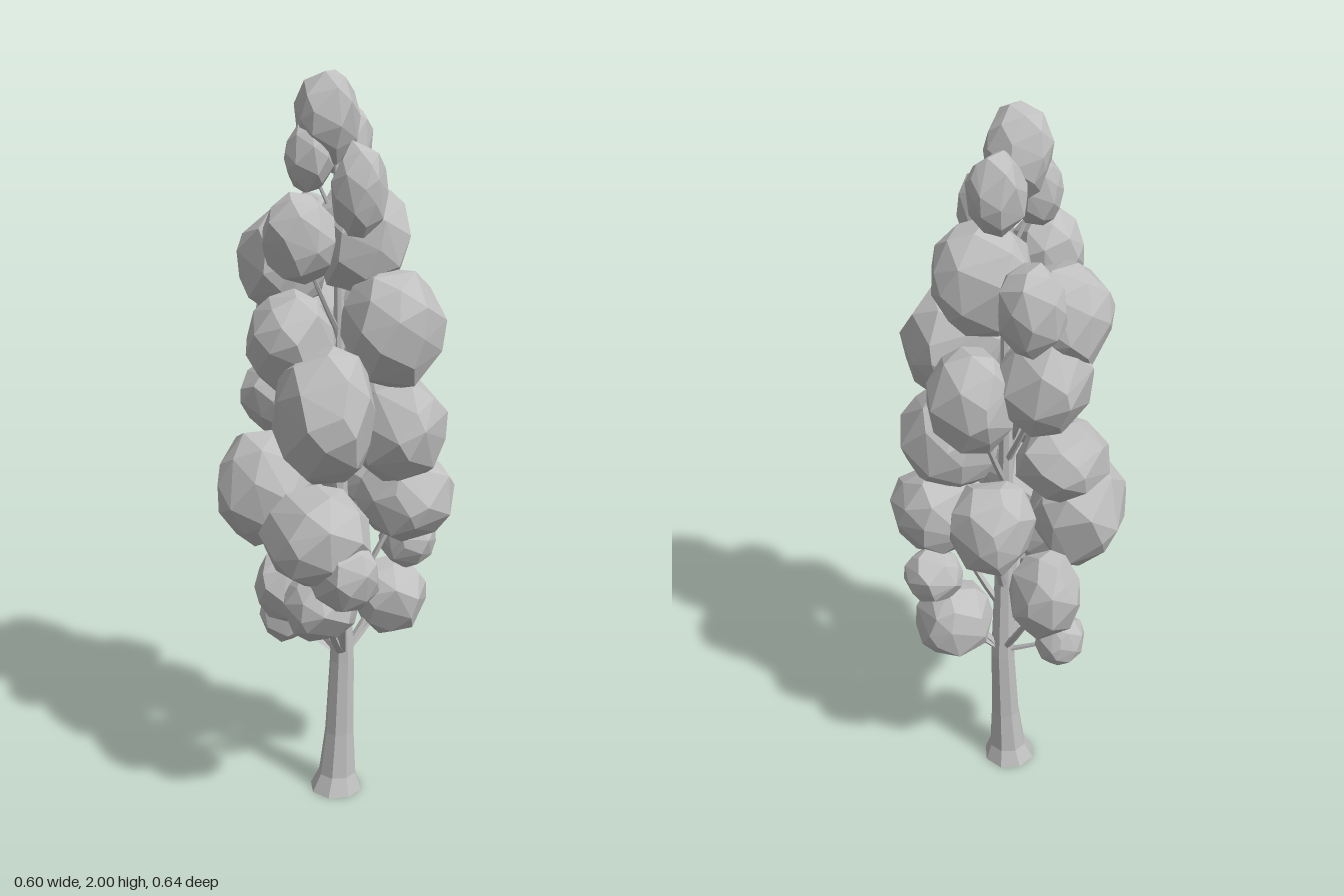
import * as THREE from 'three';
import { ConvexGeometry } from 'three/addons/geometries/ConvexGeometry.js';

// Leaf clumps by tier: centre x, y, z, radius across, radius upwards
const CLUMPS = {
  crownFoliage: [
    [-0.02, 1.885, -0.015, 0.083, 0.115], [0.065, 1.82, -0.075, 0.07, 0.098],
    [-0.07, 1.79, -0.02, 0.06, 0.085], [0.02, 1.71, 0.075, 0.07, 0.118],
    [0.07, 1.58, 0, 0.125, 0.145], [-0.13, 1.6, 0.04, 0.093, 0.112],
    [0.03, 1.57, -0.19, 0.083, 0.115],
  ],
  middleFoliage: [
    [-0.08, 1.51, -0.15, 0.117, 0.14], [0.1, 1.36, 0.11, 0.13, 0.155],
    [0.15, 1.31, -0.1, 0.108, 0.14], [-0.02, 1.36, -0.17, 0.117, 0.14],
    [-0.16, 1.34, 0.05, 0.112, 0.13], [-0.12, 1.17, 0.15, 0.13, 0.178],
    [-0.06, 1.14, -0.19, 0.118, 0.105], [0.125, 1.09, 0.1, 0.13, 0.148],
  ],
  lowerFoliage: [
    [-0.16, 0.91, -0.11, 0.133, 0.16], [-0.15, 0.85, 0.16, 0.14, 0.13],
    [-0.18, 0.69, 0.06, 0.09, 0.1], [0.11, 0.94, -0.13, 0.112, 0.13],
    [0, 0.75, -0.225, 0.095, 0.125], [0.165, 0.89, 0.08, 0.13, 0.125],
    [0.22, 0.73, 0.01, 0.078, 0.077], [-0.11, 0.77, 0.23, 0.092, 0.1],
    [-0.14, 0.67, 0.16, 0.1, 0.1], [0.165, 0.57, 0, 0.105, 0.11],
    [-0.09, 0.51, -0.145, 0.07, 0.078],
  ],
};

// Trunk rings: y, centre x, radius
const TRUNK_Z = -0.01;
const TRUNK = [
  [0, 0, 0.075], [0.05, 0.005, 0.054], [0.18, 0.012, 0.042], [0.4, 0.02, 0.035],
  [0.7, 0.015, 0.027], [1.1, 0.01, 0.019], [1.5, 0.01, 0.012], [1.85, 0, 0.005],
];

let seed = 7;
function random() {
  seed = (seed * 16807) % 2147483647;
  return seed / 2147483647;
}

// Faceted convex blob from evenly spread, jittered directions
function clumpGeometry(across, up) {
  const count = 34;
  const spin = random() * 6.28;
  const points = [];
  for (let i = 0; i < count; i++) {
    const y = 1 - (2 * i + 1) / count;
    const a = spin + i * 2.39996 + (random() - 0.5) * 0.7;
    const h = Math.sqrt(1 - y * y) * across;
    const k = 0.99 + random() * 0.1;
    points.push(new THREE.Vector3(Math.cos(a) * h * k, y * up * k, Math.sin(a) * h * k));
  }
  return new ConvexGeometry(points);
}

// Point on the trunk's centre line at height y
function trunkPoint(y) {
  let i = 0;
  while (i < TRUNK.length - 2 && TRUNK[i + 1][0] < y) i++;
  const [y0, x0] = TRUNK[i];
  const [y1, x1] = TRUNK[i + 1];
  return new THREE.Vector3(THREE.MathUtils.mapLinear(y, y0, y1, x0, x1), y, TRUNK_Z);
}

// Closed tapering limb through level rings of { centre, radius }
function taperedGeometry(rings, sides) {
  const pos = [], index = [];
  for (const { centre, radius } of rings) {
    for (let s = 0; s < sides; s++) {
      const a = (s / sides) * Math.PI * 2;
      pos.push(centre.x + Math.cos(a) * radius, centre.y, centre.z + Math.sin(a) * radius);
    }
  }
  for (let r = 0; r < rings.length - 1; r++) {
    for (let s = 0; s < sides; s++) {
      const a = r * sides + s, b = r * sides + (s + 1) % sides;
      index.push(a, a + sides, b, b, a + sides, b + sides);
    }
  }
  const top = (rings.length - 1) * sides;
  for (let s = 1; s < sides - 1; s++) {
    index.push(0, s, s + 1, top, top + s + 1, top + s);
  }
  const geometry = new THREE.BufferGeometry();
  geometry.setAttribute('position', new THREE.Float32BufferAttribute(pos, 3));
  geometry.setIndex(index);
  geometry.computeVertexNormals();
  return geometry;
}

// Thin limb that leaves the trunk below a clump and bends up into it
function branchGeometry(x, y, z) {
  const start = trunkPoint(Math.max(0.41, y - 1.5 * Math.hypot(x, z) - 0.06));
  const end = new THREE.Vector3(x, y, z);
  const mid = start.clone().lerp(end, 0.5);
  mid.x += (x - start.x) * 0.1;
  mid.z += (z - start.z) * 0.1;
  const curve = new THREE.QuadraticBezierCurve3(start, mid, end);
  const thick = 0.016 - 0.005 * start.y;
  const rings = curve.getPoints(4).map((centre, i) => ({ centre, radius: thick * (1 - i * 0.15) }));
  return taperedGeometry(rings, 5);
}

export function createModel() {
  seed = 7;
  const tree = new THREE.Group();
  tree.name = 'tree';
  const grey = new THREE.MeshStandardMaterial({ color: 0xc0c0c0, flatShading: true });
  grey.name = 'plain grey';

  const add = (parent, name, geometry) => {
    const mesh = new THREE.Mesh(geometry, grey);
    mesh.name = name;
    parent.add(mesh);
    return mesh;
  };

  // Trunk with flared foot
  const rings = TRUNK.map(([y, x, radius]) => ({ centre: new THREE.Vector3(x, y, TRUNK_Z), radius }));
  add(tree, 'trunk', taperedGeometry(rings, 8));

  // Foliage tiers and the branches that carry them
  const branches = new THREE.Group();
  branches.name = 'branches';
  tree.add(branches);
  for (const [name, clumps] of Object.entries(CLUMPS)) {
    const foliage = new THREE.Group();
    foliage.name = name;
    tree.add(foliage);
    for (const [x, y, z, across, up] of clumps) {
      add(foliage, 'leafClump', clumpGeometry(across, up)).position.set(x, y, z);
      add(branches, 'branch', branchGeometry(x, y, z));
    }
  }
  return tree;
}
